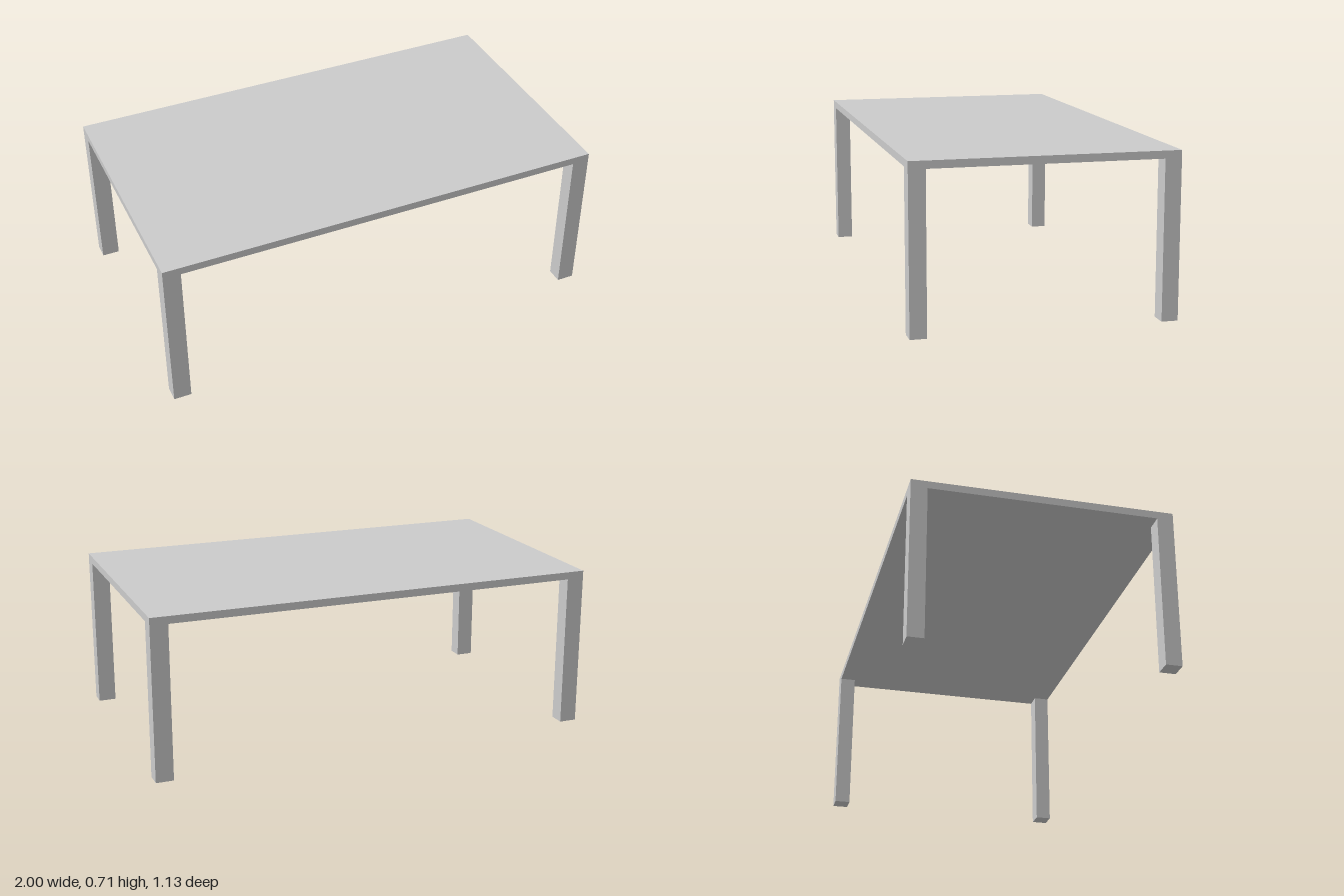
import * as THREE from 'three';

const WIDTH = 2, DEPTH = 1.13, HEIGHT = 0.715;
const TOP = 0.033;                 // tabletop thickness
const LEG_X = 0.078, LEG_Z = 0.071; // leg section

export function createModel() {
  const table = new THREE.Group();
  table.name = 'table';
  const material = new THREE.MeshStandardMaterial({ color: 0xcccccc, flatShading: true });

  const addBox = (name, w, h, d, x, y, z) => {
    const mesh = new THREE.Mesh(new THREE.BoxGeometry(w, h, d), material);
    mesh.name = name;
    mesh.position.set(x, y, z);
    table.add(mesh);
  };

  // Thin slab flush with the outer faces of the legs
  addBox('tabletop', WIDTH, TOP, DEPTH, 0, HEIGHT - TOP / 2, 0);

  // Four corner legs
  const legHeight = HEIGHT - TOP;
  for (const [side, sx] of [['Left', 1], ['Right', -1]]) {
    for (const [end, sz] of [['front', 1], ['back', -1]]) {
      addBox(`${end}${side}Leg`, LEG_X, legHeight, LEG_Z,
        sx * (WIDTH - LEG_X) / 2, legHeight / 2, sz * (DEPTH - LEG_Z) / 2);
    }
  }
  return table;
}
